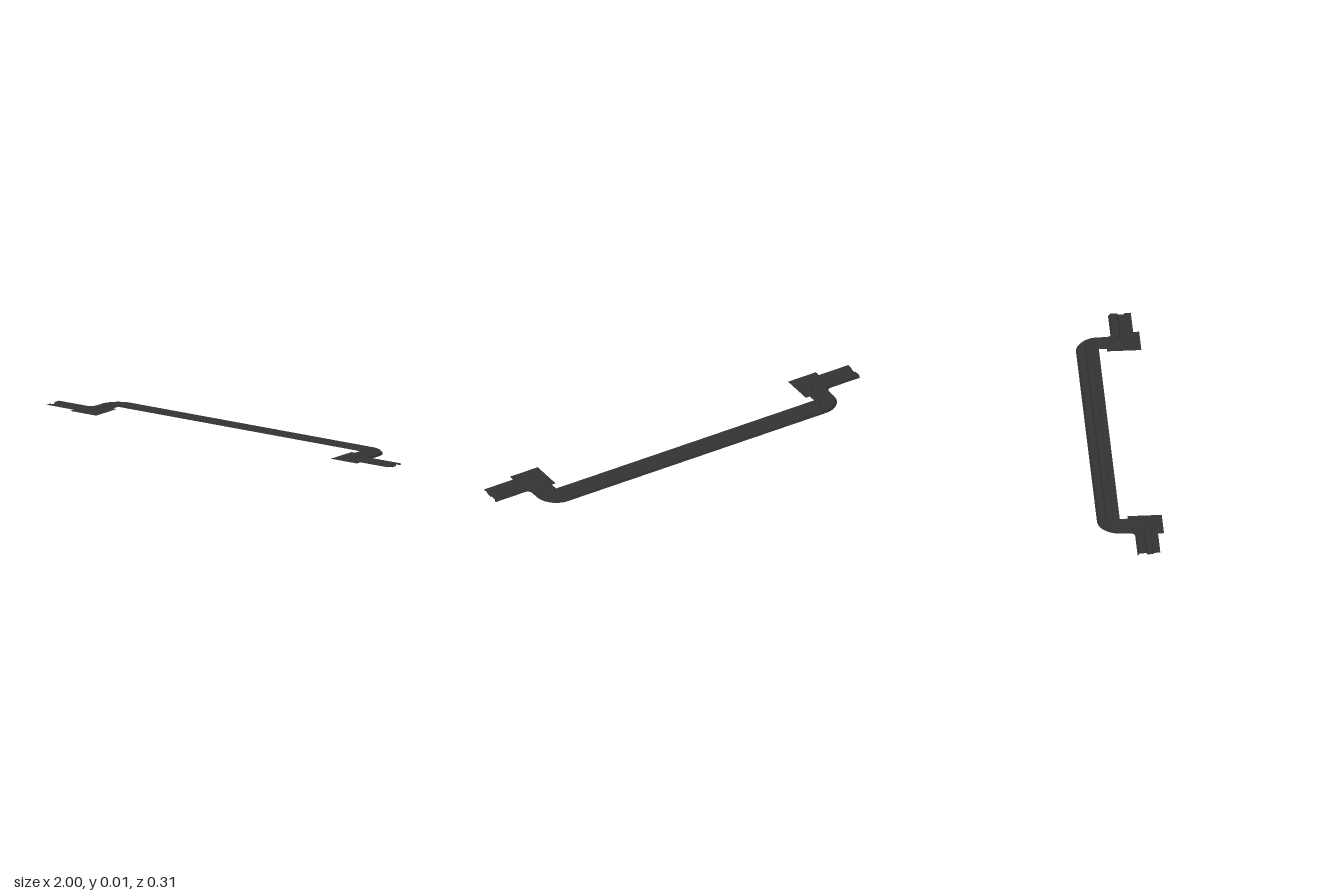
import * as THREE from 'three';

const W = 0.107;            // strip width
const R = 0.025;            // inner radius of the lower bend
const TOP = 0.01;
const LOW = { x: -0.84, z: -0.01 };       // centre of the lower bend
const HIGH = { x: -0.708, z: -0.048 };    // centre of the upper bend

// Cross-section [distance from back edge, height]: lip, lane, gutter, kerb
const PROFILE = [
  [0, 0], [0.005, 0], [0.009, TOP], [0.042, TOP], [0.046, 0.003],
  [0.072, 0.003], [0.079, TOP], [W, TOP],
];

// Stations along the path: back-edge position and direction across the strip
function stations() {
  const half = [{ x: -1, z: LOW.z + R, nx: 0, nz: 1 }];
  const steps = 12;
  for (let i = 0; i <= steps; i++) {
    const a = (i / steps) * Math.PI / 2;
    const nx = Math.sin(a), nz = Math.cos(a);
    half.push({ x: LOW.x + nx * R, z: LOW.z + nz * R, nx, nz });
  }
  for (let i = 0; i <= steps; i++) {
    const a = (i / steps) * Math.PI / 2;
    const nx = Math.cos(a), nz = Math.sin(a);
    half.push({ x: HIGH.x - nx * W, z: HIGH.z - nz * W, nx, nz });
  }
  const mirrored = half.map(p => ({ ...p, x: -p.x, nx: -p.nx })).reverse();
  return half.concat(mirrored);
}

// One facet of the cross-section swept along the path
function sweepFacet(path, from, to) {
  const pos = [], index = [];
  path.forEach((p, i) => {
    for (const [s, y] of [from, to]) pos.push(p.x + p.nx * s, y, p.z + p.nz * s);
    if (i > 0) {
      const a = (i - 1) * 2, b = i * 2;
      index.push(a, a + 1, b, a + 1, b + 1, b);
    }
  });
  const g = new THREE.BufferGeometry();
  g.setAttribute('position', new THREE.Float32BufferAttribute(pos, 3));
  g.setIndex(index);
  g.computeVertexNormals();
  return g;
}

// Flat plate filling the outside corner of a lower bend
function cornerPlate(side) {
  const s = new THREE.Shape();
  const r = R + W;
  for (let i = 0; i <= 12; i++) {
    const a = (i / 12) * Math.PI / 2;
    const x = side * (LOW.x + Math.sin(a) * r), z = LOW.z + Math.cos(a) * r;
    if (i === 0) s.moveTo(x, -z); else s.lineTo(x, -z);
  }
  s.lineTo(side * -0.687, -LOW.z);
  s.lineTo(side * -0.687, -0.15);
  s.lineTo(side * LOW.x, -0.15);
  s.closePath();
  return new THREE.ShapeGeometry(s).rotateX(-Math.PI / 2).translate(0, TOP, 0);
}

export function createModel() {
  const model = new THREE.Group();
  model.name = 'kerbedStrip';
  const asphalt = new THREE.MeshStandardMaterial({ color: 0x333333, side: THREE.DoubleSide });
  asphalt.name = 'asphalt';

  const add = (name, geometry) => {
    const mesh = new THREE.Mesh(geometry, asphalt);
    mesh.name = name;
    model.add(mesh);
  };

  // Swept strip
  const names = ['backLip', 'backKerb', 'lane', 'gutterBackWall', 'gutterFloor', 'gutterFrontWall', 'pavement'];
  const path = stations();
  names.forEach((name, i) => add(name, sweepFacet(path, PROFILE[i], PROFILE[i + 1])));

  // Corner plates
  add('rightCornerPlate', cornerPlate(1));
  add('leftCornerPlate', cornerPlate(-1));
  return model;
}
